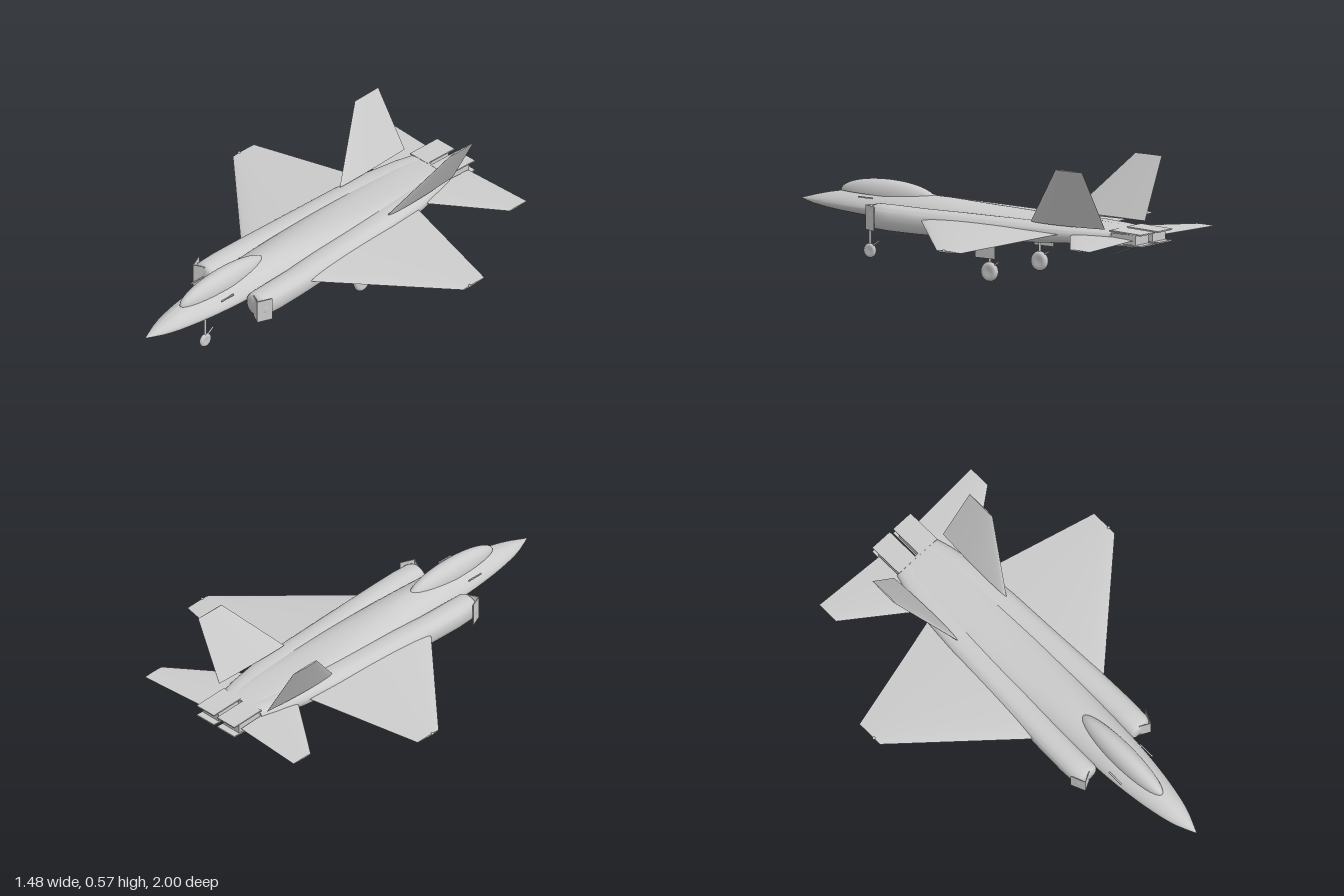
import * as THREE from 'three';
import { toCreasedNormals } from 'three/addons/utils/BufferGeometryUtils.js';

const grey = new THREE.MeshStandardMaterial({ color: 0xcccccc });
const thin = new THREE.MeshStandardMaterial({ color: 0xcccccc, side: THREE.DoubleSide });
const V = (x, y, z) => new THREE.Vector3(x, y, z);

function add(parent, name, geometry, pos = [0, 0, 0], rot = [0, 0, 0], material = grey) {
  const m = new THREE.Mesh(geometry, material);
  m.name = name;
  m.position.set(...pos);
  m.rotation.set(...rot);
  parent.add(m);
  return m;
}

// Skin a list of equal-length closed rings, cap both ends, face outwards
function loft(rings, crease = 0.6) {
  const n = rings[0].length, tris = [];
  const centre = r => r.reduce((a, p) => a.add(p), V(0, 0, 0)).divideScalar(n);
  const first = rings[0], last = rings[rings.length - 1];
  const c0 = centre(first), c1 = centre(last);
  for (let j = 0; j < n; j++) {
    const k = (j + 1) % n;
    for (let i = 0; i < rings.length - 1; i++) {
      const a = rings[i], b = rings[i + 1];
      tris.push([a[j], a[k], b[k]], [a[j], b[k], b[j]]);
    }
    tris.push([c0, first[k], first[j]], [c1, last[j], last[k]]);
  }
  // the sign of the volume tells whether the winding must be turned
  const volume = tris.reduce((s, [a, b, c]) => s + a.clone().sub(c0).dot(b.clone().sub(c0).cross(c.clone().sub(c0))), 0);
  const pts = tris.flatMap(([a, b, c]) => (volume < 0 ? [a, c, b] : [a, b, c]));
  return toCreasedNormals(new THREE.BufferGeometry().setFromPoints(pts), crease);
}

// Superellipse ring across the body
function bodyRing(z, cx, hw, top, mid, bot, e, n = 40) {
  const p = v => Math.sign(v) * Math.abs(v) ** e;
  return Array.from({ length: n }, (_, i) => {
    const a = (i / n) * Math.PI * 2, s = p(Math.sin(a));
    return V(cx + hw * p(Math.cos(a)), mid + s * (s > 0 ? top - mid : mid - bot), z);
  });
}

// Airfoil ring from leading to trailing edge, thickened along a normal
function foilRing(le, te, normal, half, n = 12) {
  const at = (t, sign) => le.clone().lerp(te, t)
    .addScaledVector(normal, sign * half * Math.sqrt(t) * (1.02 - t) * 2.5);
  const ring = [];
  for (let i = 0; i <= n; i++) ring.push(at((i / n) ** 1.6, 1));
  for (let i = n; i > 0; i--) ring.push(at((i / n) ** 1.6, -1));
  return ring;
}

function rod(parent, name, a, b, r) {
  const d = b.clone().sub(a);
  const m = add(parent, name, new THREE.CylinderGeometry(r, r, d.length(), 12), a.clone().lerp(b, 0.5).toArray());
  m.quaternion.setFromUnitVectors(V(0, 1, 0), d.normalize());
}

// Wheel with strut and diagonal link
function gear(name, x, z, r, w, top) {
  const g = new THREE.Group();
  g.name = name;
  const half = w / 2;
  const profile = [[0.001, -half * 0.8], [r * 0.5, -half * 0.9], [r * 0.7, -half], [r * 0.92, -half * 0.75], [r, -half * 0.2],
    [r, half * 0.2], [r * 0.92, half * 0.75], [r * 0.7, half], [r * 0.5, half * 0.9], [0.001, half * 0.8]];
  const y = name === 'noseGear' ? 0.04 : r;
  add(g, 'wheel', new THREE.LatheGeometry(profile.map(p => new THREE.Vector2(...p)), 28), [x, y, z], [0, 0, Math.PI / 2], thin);
  rod(g, 'strut', V(x, y, z), V(x, top, z), 0.006);
  rod(g, 'link', V(x, y + 0.012, z), V(x, y + 0.047, z - 0.05), 0.004);
  return g;
}

export function createModel() {
  const jet = new THREE.Group();
  jet.name = 'jet';

  // Fuselage: z, half width, top, middle, bottom, exponent
  const rows = [
    [1, 0.002, 0.247, 0.245, 0.243, 1.1], [0.9, 0.045, 0.275, 0.245, 0.225, 1.1],
    [0.775, 0.075, 0.301, 0.245, 0.212, 1.15], [0.6, 0.1, 0.315, 0.245, 0.2, 1.2],
    [0.4, 0.114, 0.326, 0.245, 0.192, 1.2], [0.2, 0.122, 0.326, 0.245, 0.186, 1.1],
    [0, 0.127, 0.317, 0.247, 0.182, 1], [-0.4, 0.127, 0.299, 0.25, 0.195, 0.8],
    [-0.75, 0.115, 0.288, 0.25, 0.212, 0.65], [-0.835, 0.107, 0.284, 0.25, 0.218, 0.6]];
  const curve = new THREE.CubicInterpolant(rows.map(r => -r[0]), rows.flatMap(r => r.slice(1)), 5);
  const body = [];
  for (let i = 0; i <= 44; i++) {
    const z = 1 - (i / 44) * 1.835;
    const [hw, top, mid, bot, e] = curve.evaluate(-z);
    body.push(bodyRing(z, 0, hw, top, mid, bot, e));
  }
  add(jet, 'fuselage', loft(body));

  // Canopy: upper half of a long ellipsoid
  const canopy = add(jet, 'canopy', new THREE.SphereGeometry(1, 40, 16, 0, Math.PI * 2, 0, Math.PI / 2), [0, 0.305, 0.51], [0, 0, 0], thin);
  canopy.scale.set(0.055, 0.071, 0.265);

  // Tail hook
  rod(jet, 'tailHook', V(0, 0.2, -0.88), V(0, 0.15, -0.75), 0.003);
  jet.add(gear('noseGear', 0, 0.615, 0.033, 0.02, 0.21));

  for (const s of [1, -1]) {
    const side = s > 0 ? 'left' : 'right';
    const half = new THREE.Group();
    half.name = side + 'Side';
    jet.add(half);

    // Engine nacelle: z, centre x, half width, middle y, half height
    const nacelle = [
      [0.466, 0.165, 0.045, 0.235, 0.044], [0.46, 0.165, 0.054, 0.235, 0.053], [0.445, 0.166, 0.06, 0.235, 0.058],
      [0.35, 0.167, 0.063, 0.234, 0.06], [0.2, 0.163, 0.064, 0.233, 0.059], [0, 0.15, 0.068, 0.234, 0.058],
      [-0.2, 0.14, 0.068, 0.237, 0.054], [-0.4, 0.128, 0.07, 0.241, 0.049], [-0.6, 0.11, 0.069, 0.246, 0.042],
      [-0.75, 0.088, 0.062, 0.249, 0.037], [-0.83, 0.07, 0.057, 0.25, 0.034]];
    add(half, 'nacelle', loft(nacelle.map(([z, cx, hw, y, hh]) => bodyRing(z, s * cx, hw, y + hh, y, y - hh, 0.85)), 0.7));

    // Intake lip: two upright plates meeting in a wedge
    const lip = [[0.155, 0.46], [0.205, 0.486], [0.233, 0.42]];
    for (let i = 0; i < 2; i++) {
      const [x0, z0] = lip[i], [x1, z1] = lip[i + 1];
      add(half, 'intakeLip', new THREE.BoxGeometry(Math.hypot(x1 - x0, z1 - z0), 0.113, 0.003),
        [s * (x0 + x1) / 2, 0.232, (z0 + z1) / 2], [0, -s * Math.atan2(z1 - z0, x1 - x0), 0]);
    }

    // Main wing with tip light
    const up = V(0, 1, 0);
    add(half, 'wing', loft([
      foilRing(V(s * 0.12, 0.252, 0.255), V(s * 0.12, 0.252, -0.59), up, 0.018),
      foilRing(V(s * 0.735, 0.22, -0.305), V(s * 0.735, 0.22, -0.44), up, 0.004)]));
    add(half, 'wingTipLight', new THREE.SphereGeometry(0.007, 12, 8), [s * 0.735, 0.223, -0.345]);

    // Tailplane
    add(half, 'tailplane', loft([
      foilRing(V(s * 0.12, 0.248, -0.6), V(s * 0.12, 0.248, -0.955), up, 0.01),
      foilRing(V(s * 0.475, 0.243, -0.865), V(s * 0.475, 0.243, -0.975), up, 0.003)]));

    // Canted fin
    const out = V(s * 0.874, -0.486, 0);
    add(half, 'fin', loft([
      foilRing(V(s * 0.153, 0.292, -0.405), V(s * 0.153, 0.292, -0.822), out, 0.01),
      foilRing(V(s * 0.304, 0.57, -0.655), V(s * 0.304, 0.57, -0.805), out, 0.003)]));

    // Rectangular nozzle between two flaps
    add(half, 'nozzle', new THREE.BoxGeometry(0.1, 0.046, 0.14), [s * 0.065, 0.25, -0.895]);
    for (const f of [1, -1])
      add(half, 'nozzleFlap', new THREE.BoxGeometry(0.11, 0.006, 0.175), [s * 0.065, 0.25 + f * 0.029, -0.912], [f * -0.04, 0, 0]);

    // Small probe on the cockpit side
    add(half, 'cockpitProbe', new THREE.BoxGeometry(0.006, 0.006, 0.08), [s * 0.097, 0.299, 0.57]);

    // Main gear and its door
    half.add(gear('mainGear', s * 0.19, -0.2, 0.045, 0.03, 0.22));
    add(half, 'gearDoor', new THREE.BoxGeometry(0.003, 0.09, 0.11), [s * 0.224, 0.155, -0.2]);
  }
  return jet;
}
